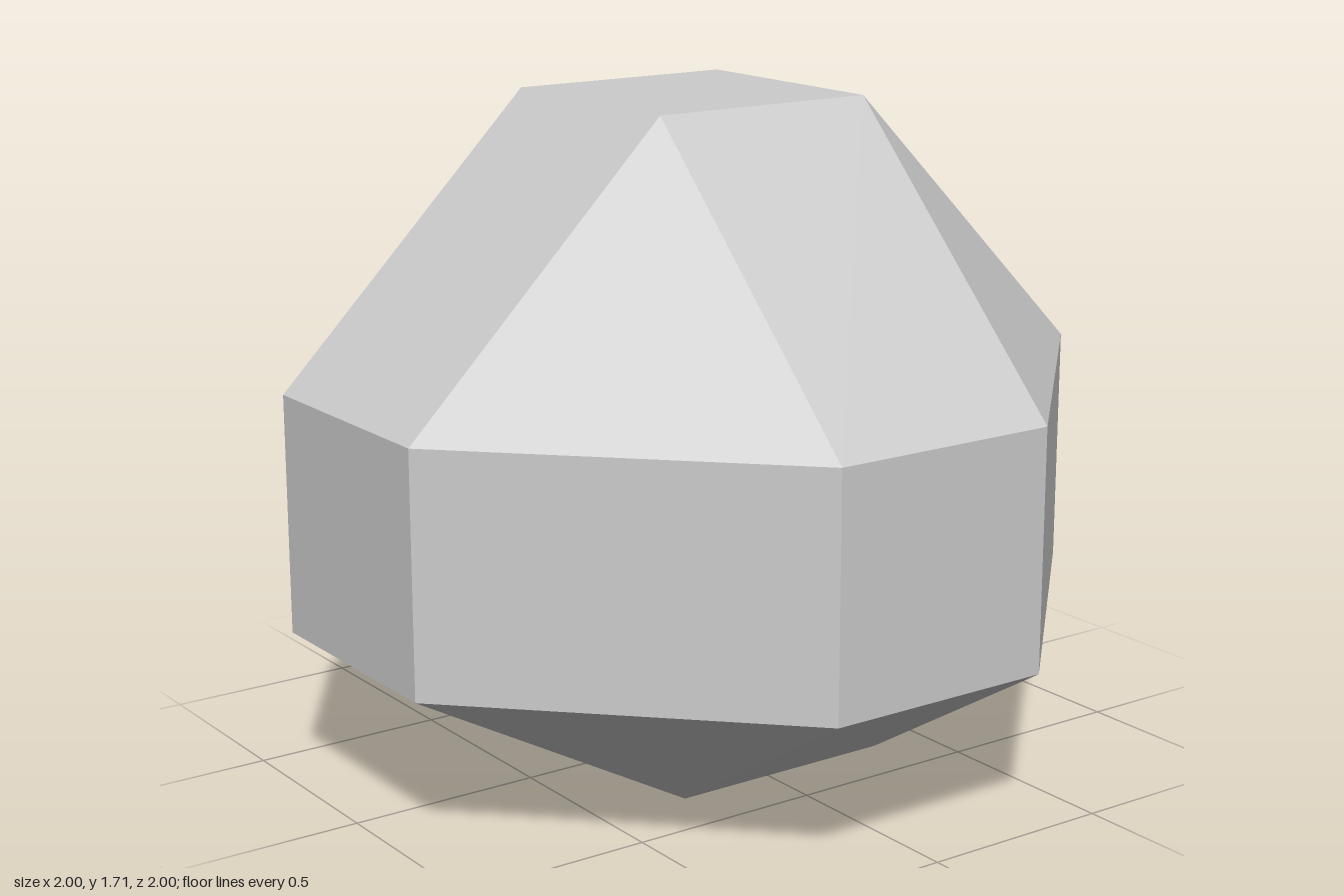
import * as THREE from 'three';

const S = 0.305; // half width of the square faces

// Four corners of a square ring, counter-clockwise from above
function squareRing(y, dx = 0, dz = 0) {
  return [[S, S], [S, -S], [-S, -S], [-S, S]].map(([x, z]) => new THREE.Vector3(x + dx, y, z + dz));
}

// Eight corners of the octagonal ring; points 2i and 2i+1 flank square corner i
function octagonRing(y) {
  const ring = [];
  let pair = [[S, 1], [1, S]];
  for (let i = 0; i < 4; i++) {
    pair.forEach(([x, z]) => ring.push(new THREE.Vector3(x, y, z)));
    pair = pair.map(([x, z]) => [z, -x]);
  }
  return ring;
}

// Flat-faced mesh from convex polygons given counter-clockwise from outside
function facetMesh(name, polygons, material) {
  const points = [];
  for (const p of polygons) {
    for (let i = 1; i < p.length - 1; i++) points.push(p[0], p[i], p[i + 1]);
  }
  const geometry = new THREE.BufferGeometry().setFromPoints(points);
  geometry.computeVertexNormals();
  const mesh = new THREE.Mesh(geometry, material);
  mesh.name = name;
  return mesh;
}

export function createModel() {
  const group = new THREE.Group();
  group.name = 'facetedSolid';
  const grey = new THREE.MeshStandardMaterial({ color: 0xcccccc, flatShading: true });
  grey.name = 'light grey';

  const top = squareRing(1.71);
  const upper = octagonRing(1.015);
  const lower = octagonRing(0.405);
  const base = squareRing(0, 0.035, -0.045); // base square sits slightly off centre

  const crownFaces = [top];
  const bandFaces = [];
  const baseFaces = [[...base].reverse()];

  for (let i = 0; i < 4; i++) {
    const j = (i + 1) % 4;
    const a = 2 * i, b = a + 1, c = (a + 2) % 8;
    // corner triangle, then sloping side, above and below the band
    crownFaces.push([upper[a], upper[b], top[i]], [upper[b], upper[c], top[j], top[i]]);
    baseFaces.push([lower[b], lower[a], base[i]], [lower[c], lower[b], base[i], base[j]]);
    // upright walls
    bandFaces.push([lower[a], lower[b], upper[b], upper[a]], [lower[b], lower[c], upper[c], upper[b]]);
  }

  group.add(
    facetMesh('crown', crownFaces, grey),
    facetMesh('band', bandFaces, grey),
    facetMesh('base', baseFaces, grey)
  );
  return group;
}
